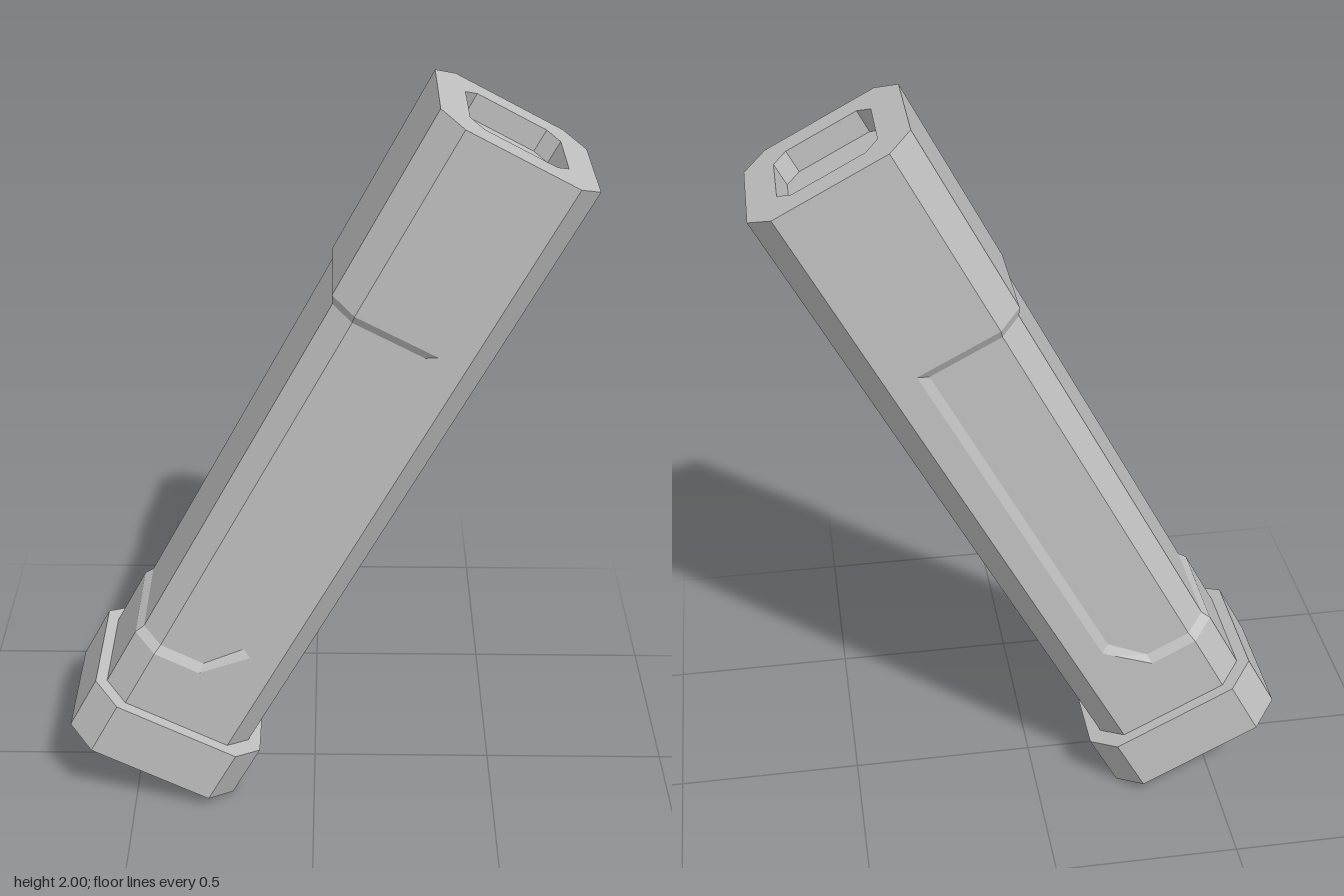
import * as THREE from 'three';

const TILT = -0.485;             // lean of the whole grip
const A = 0.217, B = 0.208, C = 0.062; // body half width, half depth, corner cut
const TOP = 2.012, DEPTH = 0.013, POCKET = 0.062;
const SHIFT = -0.003;            // body offset from the foot's centre

// Rectangle with cut corners, counter-clockwise
function octagon(a, b, c) {
  return [[a, -b + c], [a, b - c], [a - c, b], [c - a, b],
    [-a, b - c], [-a, c - b], [c - a, -b], [a - c, -b]].map(([x, y]) => new THREE.Vector2(x, y));
}

// Closed skin through a loop of vertical columns of points
function loft(columns) {
  const pos = [];
  columns.forEach((p, i) => {
    const q = columns[(i + 1) % columns.length];
    for (let j = 0; j < p.length - 1; j++) {
      pos.push(...q[j], ...p[j], ...p[j + 1], ...q[j], ...p[j + 1], ...q[j + 1]);
    }
  });
  const g = new THREE.BufferGeometry();
  g.setAttribute('position', new THREE.Float32BufferAttribute(pos, 3));
  g.computeVertexNormals();
  return g;
}

// Body skin: each column may dip inwards between its lower and upper bevels
function bodyGeometry() {
  const k = DEPTH * Math.tan(Math.PI / 8);
  // x, z, inward dx, inward dz, outer low, inner low, inner high, outer high
  const half = [
    [A, B - C, 0, 0, 0.462, 0.462, 1.48, 1.48],
    [A - C, B, 0, 0, 0.462, 0.462, 1.48, 1.48],
    [0.077, B, 0, 0, 0.462, 0.462, 1.48, 1.48],
    [0.053, B, 0, DEPTH, 0.435, 0.472, 1.458, 1.48],
    [-0.022, B, 0, DEPTH, 0.352, 0.378, 1.458, 1.48],
    [C - A, B, k, DEPTH, 0.352, 0.378, 1.458, 1.48],
    [-A, B - C, DEPTH, k, 0.352, 0.378, 1.458, 1.48],
  ];
  const column = (side) => ([x, z, dx, dz, lo, li, hi, ho]) => [
    [x, 0.1, z], [x, lo, z], [x + dx, li, z - dz],
    [x + dx, hi, z - dz], [x, ho, z], [x, TOP, z],
  ].map(([px, py, pz]) => [px, py, pz * side]);
  return loft([...half.map(column(1)), ...half.slice().reverse().map(column(-1))]);
}

export function createModel() {
  const grey = new THREE.MeshStandardMaterial({ color: 0xc0c0c0 });
  grey.name = 'light grey';
  const model = new THREE.Group();
  const grip = new THREE.Group();
  grip.name = 'grip';
  grip.position.set(-0.4525, 0.1175, 0);
  grip.rotation.z = TILT;
  model.add(grip);

  const add = (name, geometry, x = 0, y = 0) => {
    const mesh = new THREE.Mesh(geometry, grey);
    mesh.name = name;
    mesh.position.set(x, y, 0);
    grip.add(mesh);
  };

  // Wider foot
  const foot = new THREE.ExtrudeGeometry(new THREE.Shape(octagon(0.2515, 0.241, 0.072)),
    { depth: 0.168, bevelEnabled: false });
  add('basePlate', foot.rotateX(-Math.PI / 2));

  // Column with the recessed grip area
  add('body', bodyGeometry(), SHIFT);

  // Top rim with its shallow pocket
  const opening = octagon(0.135, 0.13, 0.036);
  const rim = new THREE.Shape(octagon(A, B, C));
  rim.holes.push(new THREE.Path(opening));
  add('topRim', new THREE.ShapeGeometry(rim).rotateX(-Math.PI / 2), SHIFT, TOP);
  const walls = opening.map((p) => [[p.x, 0, -p.y], [p.x, -POCKET, -p.y]]).reverse();
  add('pocketWalls', loft(walls), SHIFT, TOP);
  add('pocketFloor', new THREE.ShapeGeometry(new THREE.Shape(opening)).rotateX(-Math.PI / 2),
    SHIFT, TOP - POCKET);

  return model;
}
